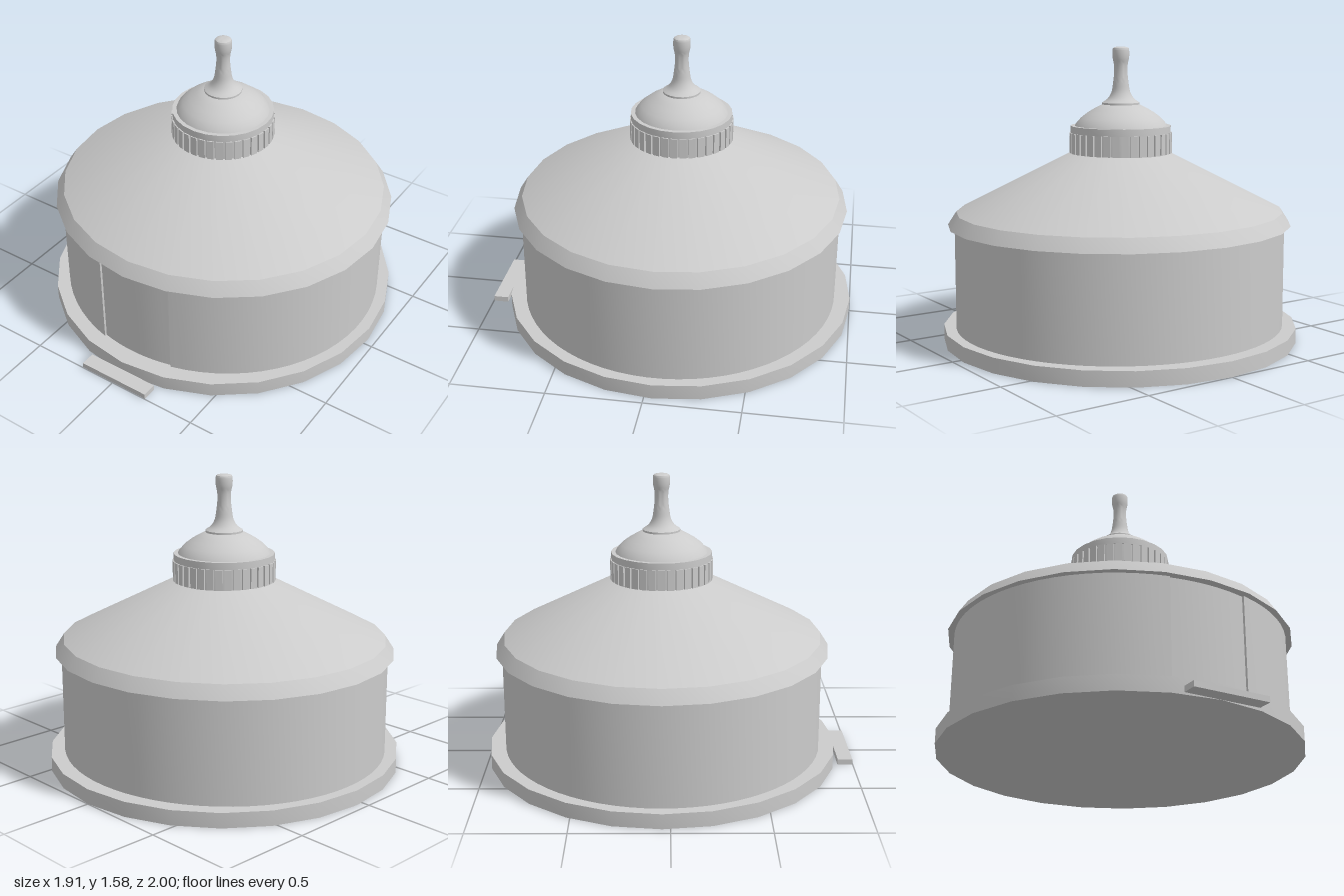
import * as THREE from 'three';
import { toCreasedNormals } from 'three/addons/utils/BufferGeometryUtils.js';

const SIDES = 24;
const CENTRE_Z = -0.042;
const grey = new THREE.MeshStandardMaterial({ color: 0xcccccc, side: THREE.DoubleSide });

function add(parent, name, geometry) {
  const mesh = new THREE.Mesh(geometry, grey);
  mesh.name = name;
  parent.add(mesh);
  return mesh;
}

// Turned part from [radius, height] pairs listed bottom to top
function turned(profile, sides = SIDES) {
  const points = profile.map(([r, y]) => new THREE.Vector2(r, y));
  return toCreasedNormals(new THREE.LatheGeometry(points, sides), 0.55);
}

// Upright curved panel between two angles, measured from the front towards +x
function curvedPanel(outer, inner, from, to, height, segments) {
  const shape = new THREE.Shape();
  shape.absarc(0, 0, outer, from - Math.PI / 2, to - Math.PI / 2, false);
  shape.absarc(0, 0, inner, to - Math.PI / 2, from - Math.PI / 2, true);
  const g = new THREE.ExtrudeGeometry(shape, { depth: height, bevelEnabled: false, curveSegments: segments });
  g.rotateX(-Math.PI / 2);
  return toCreasedNormals(g, 0.55);
}

export function createModel() {
  const model = new THREE.Group();
  model.name = 'roundTent';
  const body = new THREE.Group();
  body.name = 'body';
  body.position.z = CENTRE_Z;
  model.add(body);

  // Round floor platform and entrance step
  add(body, 'platform', turned([[0, 0], [0.957, 0], [0.957, 0.08], [0, 0.08]]));
  add(model, 'step', new THREE.BoxGeometry(0.41, 0.03, 0.08)).position.set(0.005, 0.015, 0.957);

  // Wall and roof are slightly shallower than they are wide
  const shell = new THREE.Group();
  shell.name = 'shell';
  shell.scale.z = 0.972;
  body.add(shell);

  // Curved wall, open at the front for a slightly recessed door
  const doorFrom = -0.222, doorTo = 0.262;
  const wall = add(shell, 'wall',
    curvedPanel(0.895, 0.84, doorTo, doorFrom + Math.PI * 2, 0.56, 32));
  wall.position.y = 0.075;
  const door = add(shell, 'door', curvedPanel(0.883, 0.84, doorFrom, doorTo, 0.56, 4));
  door.position.y = 0.075;

  // Eave band with its underside, then the conical roof
  add(shell, 'eave', turned([[0.85, 0.63], [0.932, 0.63], [0.886, 0.7]]));
  add(shell, 'roof', turned([[0.886, 0.7], [0.27, 1.01], [0, 1.01]]));

  // Crown at the top of the roof
  const crown = new THREE.Group();
  crown.name = 'crown';
  crown.position.set(-0.004, 0, -0.003);
  body.add(crown);
  add(crown, 'crownRing', turned([[0.266, 1.0], [0.266, 1.12]]));
  const ribCount = 36;
  for (let i = 0; i < ribCount; i++) {
    const a = (i / ribCount) * Math.PI * 2;
    const rib = add(crown, 'crownRib', new THREE.BoxGeometry(0.036, 0.108, 0.012));
    rib.position.set(Math.sin(a) * 0.269, 1.064, Math.cos(a) * 0.269);
    rib.rotation.y = a;
  }
  add(crown, 'crownRim', turned([[0.24, 1.118], [0.27, 1.118], [0.27, 1.155], [0.24, 1.155]]));
  add(crown, 'dome', turned([
    [0.25, 1.15], [0.238, 1.172], [0.215, 1.197], [0.18, 1.224], [0.14, 1.248], [0.1, 1.268], [0, 1.27]
  ]));

  // Turned finial
  const outline = new THREE.SplineCurve([
    [0.1, 1.278], [0.07, 1.3], [0.05, 1.335], [0.042, 1.38], [0.036, 1.435],
    [0.037, 1.48], [0.044, 1.515], [0.045, 1.55], [0.038, 1.57], [0, 1.576]
  ].map(([r, y]) => new THREE.Vector2(r, y)));
  const turnedOutline = outline.getPoints(30).map((p) => [Math.max(p.x, 0), p.y]);
  add(crown, 'finial', turned([[0, 1.264], [0.1, 1.264], ...turnedOutline]));

  return model;
}
